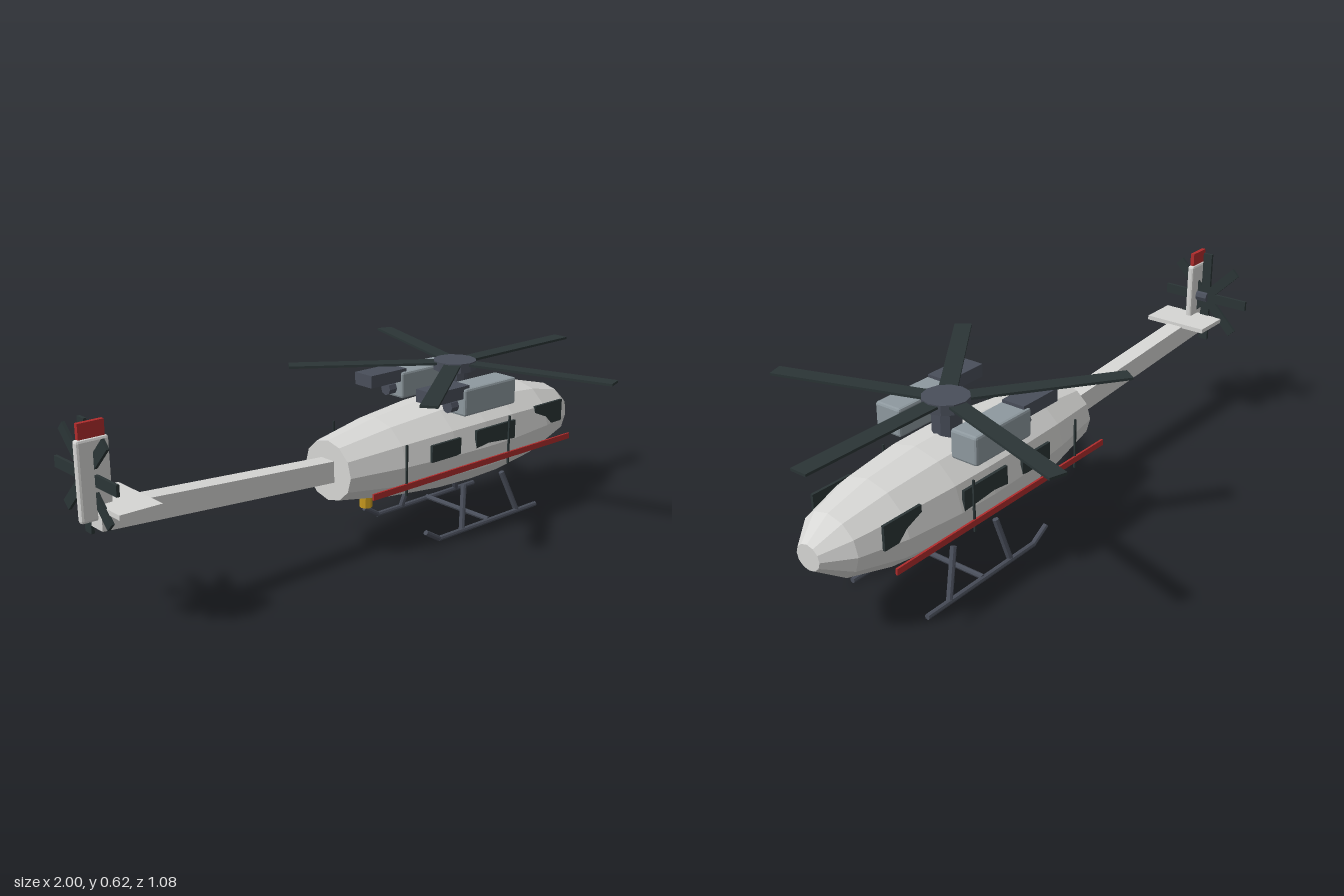
import * as THREE from 'three';
import { RoundedBoxGeometry } from 'three/addons/geometries/RoundedBoxGeometry.js';

const mat = (name, color) => {
  const m = new THREE.MeshStandardMaterial({ color, flatShading: true });
  m.name = name;
  return m;
};

export function createModel() {
  const white = mat('paleGreyPaint', 0xd6d6d4);
  const dark = mat('darkGlass', 0x2b3536);
  const slate = mat('slateMetal', 0x494e5a);
  const steel = mat('engineGrey', 0x8e999f);
  const red = mat('redTrim', 0xb02c2c);
  const amber = mat('amberLamp', 0xc89a1e);

  const root = new THREE.Group();
  root.name = 'helicopter';

  const add = (name, geometry, material, parent = root) => {
    const mesh = new THREE.Mesh(geometry, material);
    mesh.name = name;
    parent.add(mesh);
    return mesh;
  };
  // Box given by its extents on each axis
  const box = (name, [x0, x1], [y0, y1], [z0, z1], material, parent = root) => {
    const mesh = add(name, new THREE.BoxGeometry(x1 - x0, y1 - y0, z1 - z0), material, parent);
    mesh.position.set((x0 + x1) / 2, (y0 + y1) / 2, (z0 + z1) / 2);
    return mesh;
  };
  // Straight rod between two points
  const rod = (name, a, b, r, material, parent = root, sides = 8) => {
    const p = new THREE.Vector3(...a), q = new THREE.Vector3(...b);
    const mesh = add(name, new THREE.CylinderGeometry(r, r, p.distanceTo(q), sides), material, parent);
    mesh.position.copy(p).add(q).multiplyScalar(0.5);
    mesh.quaternion.setFromUnitVectors(new THREE.Vector3(0, 1, 0), q.sub(p).normalize());
    return mesh;
  };

  // Faceted fuselage: twelve-sided lathe laid along x, nose at +x
  const stations = [[-0.13, 0], [-0.13, 0.62], [0.07, 0.84], [0.28, 0.97], [0.43, 1],
    [0.57, 0.98], [0.76, 0.85], [0.91, 0.61], [0.99, 0.25], [0.99, 0]];
  const hull = new THREE.LatheGeometry(stations.map(([x, r]) => new THREE.Vector2(r, x)), 12);
  hull.rotateZ(-Math.PI / 2).scale(1, 0.16, 0.175).translate(0, 0.295, 0);
  add('fuselage', hull, white);

  // Tail boom: a box sheared upward toward the rear
  const boom = new THREE.BoxGeometry(0.84, 0.07, 0.06).translate(-0.53, 0, 0);
  const pos = boom.attributes.position;
  for (let i = 0; i < pos.count; i++) {
    pos.setY(i, pos.getY(i) + 0.297 - (pos.getX(i) + 0.13) * 0.07);
  }
  add('tailBoom', boom, white);

  // Tail surfaces
  box('stabilizer', [-0.945, -0.81], [0.375, 0.39], [-0.115, 0.115], white);
  const fin = add('tailFin', new RoundedBoxGeometry(0.1, 0.235, 0.024, 1, 0.008), white);
  fin.position.set(-0.95, 0.4625, 0);
  box('finCap', [-0.99, -0.91], [0.58, 0.625], [-0.007, 0.007], red);

  // Tail rotor: four crossed bars turning about x
  const tailRotor = new THREE.Group();
  tailRotor.name = 'tailRotor';
  tailRotor.position.set(-0.947, 0.46, -0.045);
  root.add(tailRotor);
  for (let i = 0; i < 4; i++) {
    add('tailBlade', new THREE.BoxGeometry(0.01, 0.33, 0.034), dark, tailRotor).rotation.x = i * Math.PI / 4;
  }
  rod('tailRotorHub', [0, 0, -0.01], [0, 0, 0.035], 0.02, slate, tailRotor);

  // Main rotor: five blades, the first pointing forward
  const mainRotor = new THREE.Group();
  mainRotor.name = 'mainRotor';
  mainRotor.position.set(0.435, 0.552, 0);
  root.add(mainRotor);
  for (let i = 0; i < 5; i++) {
    const arm = new THREE.Group();
    arm.name = 'bladeArm';
    arm.rotation.y = i * Math.PI * 2 / 5;
    mainRotor.add(arm);
    box('mainBlade', [0.04, 0.56], [-0.004, 0.004], [-0.028, 0.028], dark, arm);
  }
  rod('rotorHub', [0, -0.024, 0], [0, 0.008, 0], 0.073, slate, mainRotor, 12);
  rod('rotorMast', [0, -0.13, 0], [0, -0.02, 0], 0.045, slate, mainRotor, 10);

  // Parts repeated on both sides
  for (const s of [1, -1]) {
    const side = new THREE.Group();
    side.name = s > 0 ? 'leftSide' : 'rightSide';
    root.add(side);
    const zr = (a, b) => (s > 0 ? [a, b] : [-b, -a]);

    // Engine pod with intake box and exhaust
    const engine = add('enginePod', new RoundedBoxGeometry(0.245, 0.092, 0.096, 1, 0.008), steel, side);
    engine.position.set(0.407, 0.474, s * 0.145);
    box('engineCowl', [0.15, 0.31], [0.488, 0.53], zr(0.105, 0.185), slate, side);
    rod('exhaust', [0.252, 0.46, s * 0.145], [0.3, 0.46, s * 0.145], 0.022, slate, side);

    // Window plates
    box('rearWindow', [0.165, 0.297], [0.295, 0.352], zr(0.16, 0.1695), dark, side);
    box('middleWindow', [0.37, 0.56], [0.295, 0.36], zr(0.162, 0.1715), dark, side);
    box('cockpitWindow', [0.7, 0.845], [0.295, 0.372], zr(0.131, 0.14), dark, side);

    // Door seams and long red stripe
    for (const x of [0.045, 0.525]) {
      box('doorSeam', [x - 0.003, x + 0.003], [0.215, 0.382], zr(0.172, 0.178), dark, side);
    }
    box('sideStripe', [-0.1, 0.845], [0.236, 0.256], zr(0.174, 0.181), red, side);

    // Landing skid with upturned rear end and two struts
    const z = s * 0.15;
    rod('skid', [0.22, 0.012, z], [0.71, 0.012, z], 0.009, slate, side);
    rod('skidTip', [0.224, 0.012, z], [0.16, 0.05, z], 0.009, slate, side);
    rod('rearStrut', [0.335, 0.015, s * 0.147], [0.368, 0.16, s * 0.12], 0.01, slate, side);
    rod('frontStrut', [0.612, 0.015, s * 0.147], [0.557, 0.16, s * 0.12], 0.01, slate, side);
  }
  rod('skidCrossbar', [0.465, 0.017, -0.15], [0.465, 0.017, 0.15], 0.009, slate);

  // Belly lamp
  rod('bellyLamp', [0.032, 0.132, 0], [0.032, 0.19, 0], 0.021, amber);

  return root;
}
